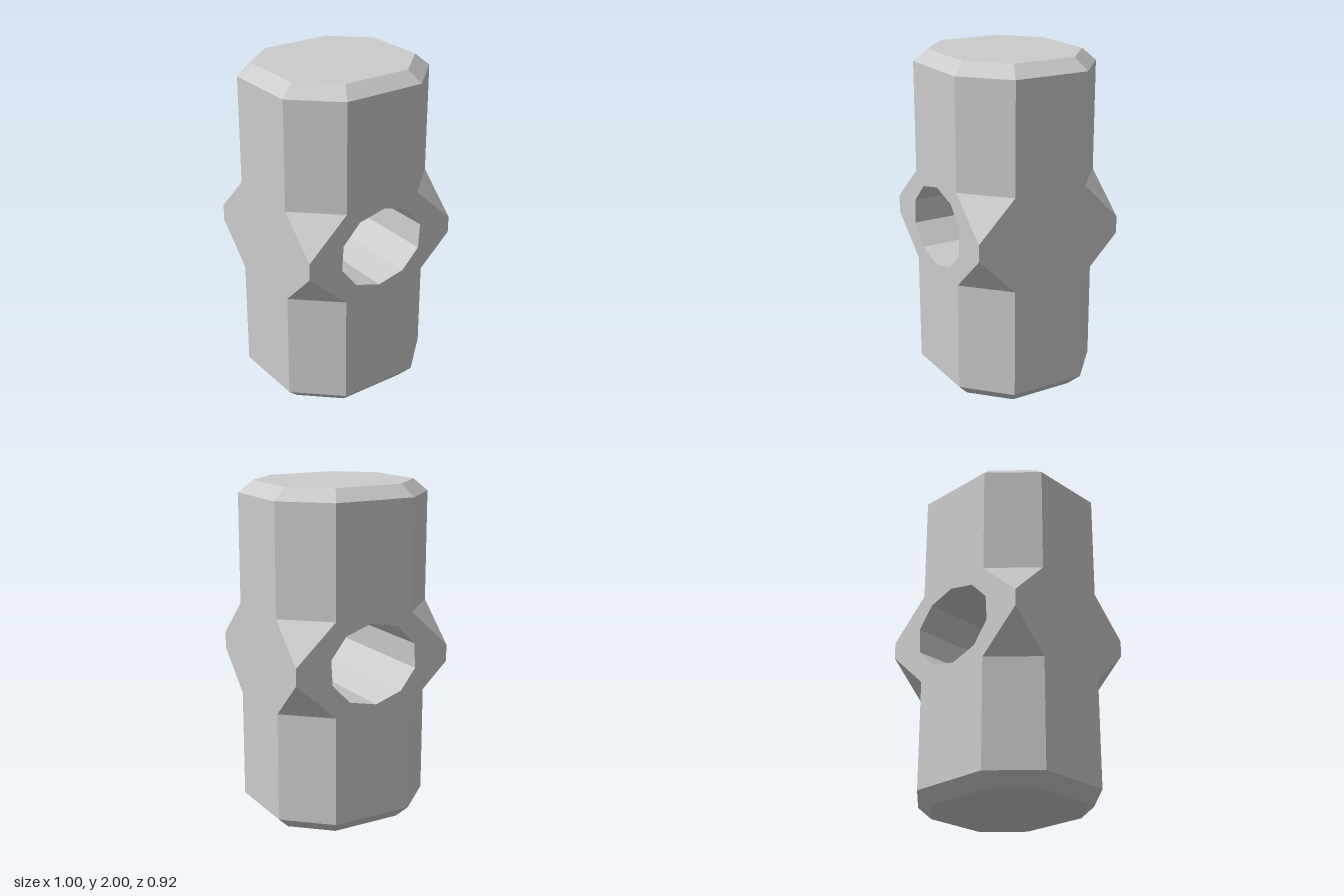
import * as THREE from 'three';

const HX = 0.5, HZ = 0.46;               // half width and half depth
const Y = { bevelLo: 0.075, notchLo: 0.725, cornerLo: 0.953, cornerHi: 1.052, notchHi: 1.28, bevelHi: 1.93, top: 2 };
const material = new THREE.MeshStandardMaterial({ color: 0xcccccc, flatShading: true });

// Flat-shaded mesh from convex faces, each turned away from (or towards) its axis point
function faceMesh(name, faces, axisY, inward = false) {
  const pos = [];
  for (const face of faces) {
    const p = face.map(c => new THREE.Vector3(...c));
    const mid = p.reduce((s, v) => s.add(v), new THREE.Vector3()).divideScalar(p.length);
    const n = p[1].clone().sub(p[0]).cross(p[2].clone().sub(p[0]));
    const out = inward ? new THREE.Vector3(mid.x, mid.y - axisY, 0) : new THREE.Vector3(mid.x, mid.y - axisY, mid.z);
    if ((n.dot(out) < 0) !== inward) p.reverse();
    for (let i = 1; i < p.length - 1; i++) for (const v of [p[0], p[i], p[i + 1]]) pos.push(v.x, v.y, v.z);
  }
  const g = new THREE.BufferGeometry();
  g.setAttribute('position', new THREE.Float32BufferAttribute(pos, 3));
  g.computeVertexNormals();
  const mesh = new THREE.Mesh(g, material);
  mesh.name = name;
  return mesh;
}

// Octagon with chamfered corners at height y
function octagon(y, scale) {
  const x = HX * scale, z = HZ * scale;
  return [[x / 2, z], [x, z / 2], [x, -z / 2], [x / 2, -z], [-x / 2, -z], [-x, -z / 2], [-x, z / 2], [-x / 2, z]]
    .map(([a, b]) => [a, y, b]);
}

// Flat face outline: narrow shaft that widens to a point at the middle
function faceShape(half) {
  const side = [[half / 2, Y.bevelLo], [half / 2, Y.notchLo], [half, Y.cornerLo],
    [half, Y.cornerHi], [half / 2, Y.notchHi], [half / 2, Y.bevelHi]];
  const mirrored = side.map(([x, y]) => [-x, y]).reverse();
  return new THREE.Shape([...side, ...mirrored].map(([x, y]) => new THREE.Vector2(x, y)));
}

export function createModel() {
  const group = new THREE.Group();
  group.name = 'hammerHead';

  // Ten-sided oval handle hole
  const hole = [];
  for (let i = 0; i < 10; i++) {
    const a = THREE.MathUtils.degToRad(15 + 36 * i);
    hole.push(new THREE.Vector2(0.29 * Math.cos(a), 1.005 + 0.241 * Math.sin(a)));
  }
  const holeWalls = hole.map((p, i) => {
    const q = hole[(i + 1) % hole.length];
    return [[p.x, p.y, HZ], [q.x, q.y, HZ], [q.x, q.y, -HZ], [p.x, p.y, -HZ]];
  });
  group.add(faceMesh('handleHole', holeWalls, 1.005, true));

  // Four upright faces; the front and back ones are pierced
  ['frontFace', 'leftFace', 'backFace', 'rightFace'].forEach((name, i) => {
    const pierced = i % 2 === 0;
    const shape = faceShape(pierced ? HX : HZ);
    if (pierced) {
      // the back outline is mirrored so the hole lines up after turning
      shape.holes.push(new THREE.Path(hole.map(p => new THREE.Vector2(i === 0 ? p.x : -p.x, p.y))));
    }
    const geometry = new THREE.ShapeGeometry(shape);
    geometry.translate(0, 0, pierced ? HZ : HX);
    geometry.rotateY(i * Math.PI / 2);
    const mesh = new THREE.Mesh(geometry, material);
    mesh.name = name;
    group.add(mesh);
  });

  // Chamfered corners, swelling to a full square corner at mid height
  const corners = [];
  for (const sx of [1, -1]) for (const sz of [1, -1]) {
    const a = y => [sx * HX / 2, y, sz * HZ];
    const b = y => [sx * HX, y, sz * HZ / 2];
    const tip = y => [sx * HX, y, sz * HZ];
    corners.push(
      [a(Y.bevelLo), b(Y.bevelLo), b(Y.notchLo), a(Y.notchLo)],
      [a(Y.notchLo), b(Y.notchLo), tip(Y.cornerLo)],
      [a(Y.notchHi), b(Y.notchHi), tip(Y.cornerHi)],
      [a(Y.notchHi), b(Y.notchHi), b(Y.bevelHi), a(Y.bevelHi)]);
  }
  group.add(faceMesh('chamferedCorners', corners, 1));

  // Striking ends with bevelled rims
  for (const [name, yRim, yEnd] of [['bottomEnd', Y.bevelLo, 0], ['topEnd', Y.bevelHi, Y.top]]) {
    const rim = octagon(yRim, 1), end = octagon(yEnd, 0.845);
    const faces = rim.map((p, i) => [p, rim[(i + 1) % 8], end[(i + 1) % 8], end[i]]);
    group.add(faceMesh(name, [...faces, end], 1));
  }
  return group;
}
